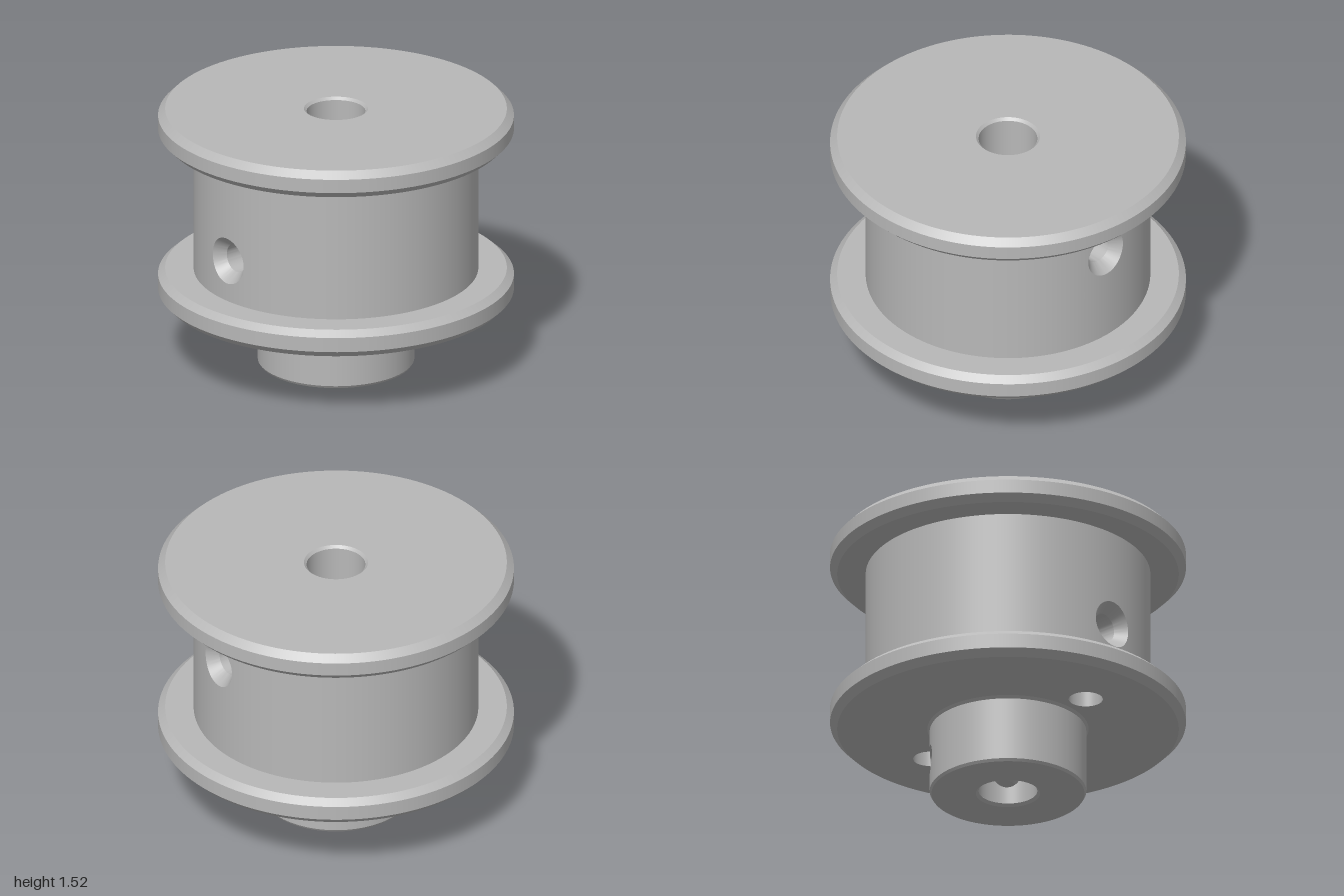
import * as THREE from 'three';
import { mergeGeometries, toCreasedNormals } from 'three/addons/utils/BufferGeometryUtils.js';

const steel = new THREE.MeshStandardMaterial({ color: 0xb8b8b8, side: THREE.DoubleSide });
steel.name = 'steel grey';

const SEG = 128, AROUND = 64;
const HUB_R = 0.44, DRUM_R = 0.8, BORE_R = 0.165;

// Turned surface with a sharp edge at every profile point
function turned(profile, start = 0, length = Math.PI * 2) {
  const bands = [];
  for (let i = 0; i + 1 < profile.length; i++) {
    const pts = [profile[i], profile[i + 1]].map(([r, y]) => new THREE.Vector2(r, y));
    bands.push(new THREE.LatheGeometry(pts, Math.ceil(SEG * length / (Math.PI * 2)), start, length));
  }
  return mergeGeometries(bands);
}

// Skin over closed loops; each loop maps an angle to [x, y, z]
function skin(loops) {
  const pos = [], idx = [], n = AROUND;
  loops.forEach((loop) => {
    for (let i = 0; i < n; i++) pos.push(...loop(i / n * Math.PI * 2));
  });
  for (let j = 0; j + 1 < loops.length; j++) {
    for (let i = 0; i < n; i++) {
      const k = (i + 1) % n, a = j * n, b = a + n;
      idx.push(a + i, b + i, a + k, b + i, b + k, a + k);
    }
  }
  const g = new THREE.BufferGeometry();
  g.setAttribute('position', new THREE.Float32BufferAttribute(pos, 3));
  g.setIndex(idx);
  return g;
}

const onWall = (R) => (u) => Math.sqrt(R * R - u * u);
const atDepth = (z) => () => z;

// Lining of a radial hole: rings of [radius, depth function]
function lining(angle, y, rings) {
  const g = skin(rings.map(([r, depth]) => (t) => {
    const u = r * Math.cos(t);
    return [u, y + r * Math.sin(t), depth(u)];
  }));
  return toCreasedNormals(g, 0.4).rotateY(angle);
}

// Piece of cylinder wall around a round hole, filling a rectangle
function patch(R, y0, y1, angle, yc, r, w) {
  const steps = 8, loops = [];
  for (let j = 0; j <= steps; j++) {
    const k = j / steps;
    loops.push((t) => {
      const c = Math.cos(t), s = Math.sin(t), m = Math.max(Math.abs(c), Math.abs(s));
      const u = THREE.MathUtils.lerp(r * c, w * c / m, k);
      const v = THREE.MathUtils.lerp(r * s, (s > 0 ? y1 - yc : yc - y0) * s / m, k);
      return [u, yc + v, onWall(R)(u)];
    });
  }
  const g = skin(loops), p = g.attributes.position, normals = [];
  for (let i = 0; i < p.count; i++) normals.push(p.getX(i) / R, 0, p.getZ(i) / R);
  g.setAttribute('normal', new THREE.Float32BufferAttribute(normals, 3));
  return g.rotateY(angle);
}

export function createModel() {
  const model = new THREE.Group();
  model.name = 'spool';
  const add = (name, geometry) => {
    const mesh = new THREE.Mesh(geometry, steel);
    mesh.name = name;
    model.add(mesh);
  };

  // Cylinder wall with radial holes, listed by rising angle
  const drilledWall = (name, R, y0, y1, holes, r, w) => {
    const half = Math.asin(w / R);
    holes.forEach(([angle, y], i) => {
      const next = i + 1 < holes.length ? holes[i + 1][0] : holes[0][0] + Math.PI * 2;
      add(name + 'Opening', patch(R, y0, y1, angle, y, r, w));
      add(name, turned([[R, y0], [R, y1]], angle + half, next - angle - 2 * half));
    });
  };

  const cordHoles = [[0, 0.8], [Math.PI, 1.12]];
  const screwHoles = [[Math.PI * 0.75, 0.2], [Math.PI * 1.25, 0.2]];

  // Hub with set screw holes
  add('hubBase', turned([[BORE_R, 0.015], [0.18, 0], [0.43, 0], [HUB_R, 0.015]]));
  drilledWall('hub', HUB_R, 0.015, 0.385, screwHoles, 0.085, 0.13);
  add('hubCollar', turned([[HUB_R, 0.385], [0.453, 0.4]]));
  screwHoles.forEach(([a, y]) => add('screwHole',
    lining(a, y, [[0.085, onWall(HUB_R)], [0.085, onWall(BORE_R)]])));

  // Underside of the lower flange with two cord exits
  const underside = new THREE.Shape().absarc(0, 0, 0.96, 0, Math.PI * 2);
  const circleHole = (y, r) => underside.holes.push(new THREE.Path().absarc(0, y, r, 0, Math.PI * 2, true));
  circleHole(0, 0.453);
  circleHole(0.59, 0.096);
  circleHole(-0.59, 0.096);
  add('lowerFlangeUnderside', new THREE.ShapeGeometry(underside, SEG / 2).rotateX(Math.PI / 2).translate(0, 0.4, 0));

  // Flanges
  add('lowerFlange', turned([[0.96, 0.4], [1, 0.44], [1, 0.525], [0.96, 0.56], [DRUM_R, 0.56]]));
  add('upperFlange', turned([[DRUM_R, 1.36], [0.96, 1.36], [1, 1.4], [1, 1.48], [0.96, 1.52],
    [0.18, 1.52], [BORE_R, 1.505]]));

  // Drum with countersunk cord holes and their vertical shafts
  drilledWall('drum', DRUM_R, 0.56, 1.36, cordHoles, 0.135, 0.25);
  cordHoles.forEach(([a, y]) => {
    add('cordHole', lining(a, y, [[0.135, onWall(DRUM_R)], [0.082, atDepth(0.73)],
      [0.082, atDepth(0.5)], [0, atDepth(0.455)]]));
    const top = y - 0.083;
    add('cordShaft', turned([[0.096, 0.4], [0.096, top], [0, top]])
      .translate(0, 0, 0.59 * Math.cos(a)));
  });

  // Central bore
  drilledWall('lowerBore', BORE_R, 0.015, 0.4, screwHoles, 0.085, 0.11);
  add('upperBore', turned([[BORE_R, 0.4], [BORE_R, 1.505]]));

  return model;
}
